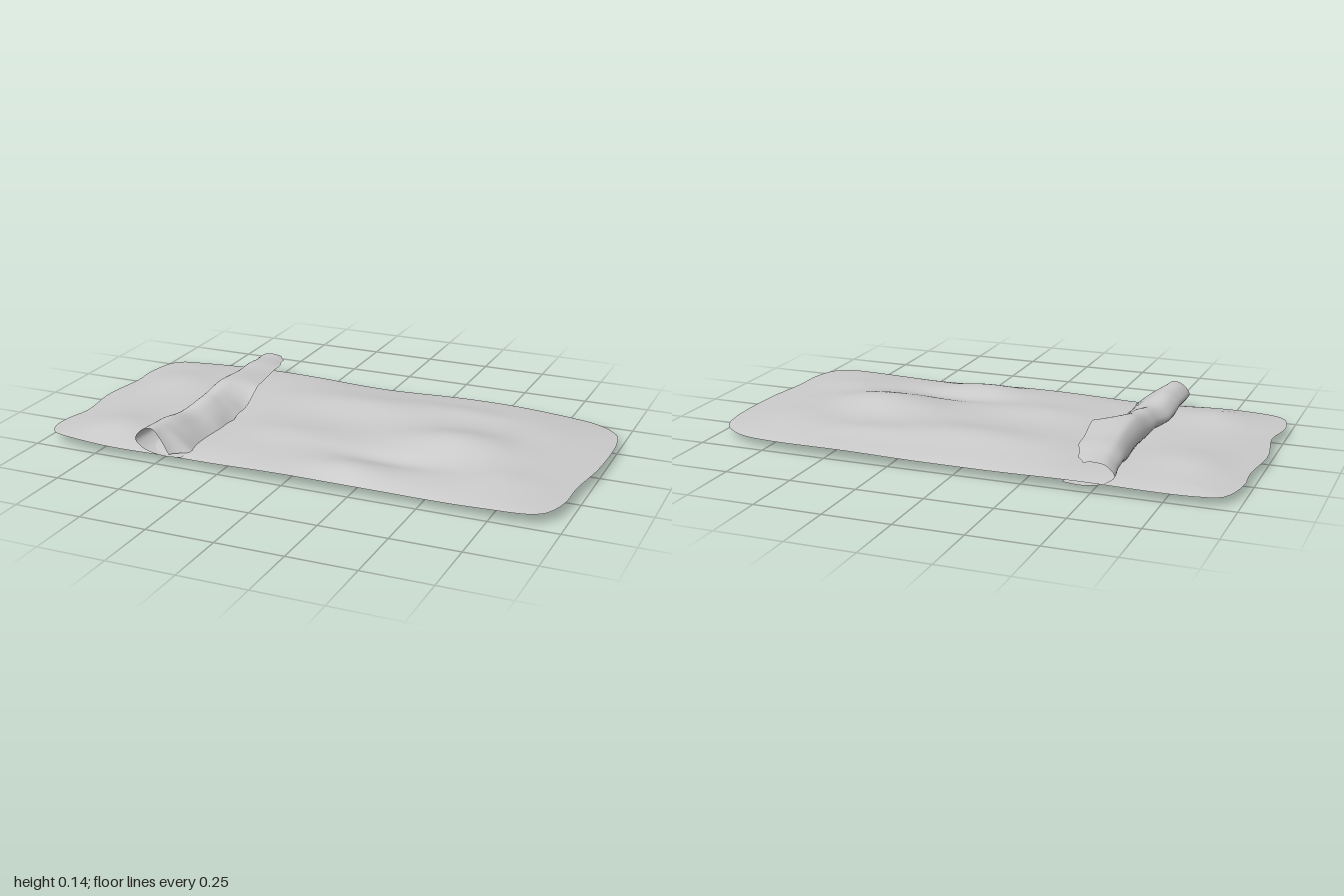
import * as THREE from 'three';

const material = new THREE.MeshStandardMaterial({ color: 0xcccccc, side: THREE.DoubleSide });

// Wavy outline of the sheet, [x, z], going round from the back left corner
const outline = [
  [-0.94, -0.46], [-0.86, -0.485], [-0.7, -0.5], [-0.3, -0.5], [0, -0.49], [0.3, -0.497],
  [0.7, -0.48], [0.88, -0.44], [0.97, -0.36], [0.995, -0.26], [0.995, 0], [0.97, 0.2],
  [0.965, 0.34], [0.93, 0.44], [0.88, 0.47], [0.7, 0.48], [0.4, 0.475], [0.1, 0.485],
  [-0.2, 0.485], [-0.45, 0.48], [-0.7, 0.495], [-0.86, 0.48], [-0.95, 0.455], [-0.985, 0.4],
  [-0.99, 0.3], [-0.97, 0.2], [-0.995, 0], [-0.975, -0.2], [-0.98, -0.32],
];

// Soft bumps and hollows: x, z, width in x, width in z, height
const bumps = [
  [0.5, 0.03, 0.22, 0.13, 0.042], [0.05, -0.22, 0.3, 0.12, 0.022], [0.22, 0.4, 0.14, 0.09, 0.025],
  [-0.75, 0.33, 0.13, 0.12, 0.022], [-0.8, -0.2, 0.15, 0.13, 0.022], [0.75, -0.2, 0.14, 0.15, 0.015],
  [-0.1, 0.15, 0.18, 0.1, 0.012], [0.3, 0.24, 0.2, 0.06, -0.015], [0.4, -0.3, 0.2, 0.08, 0.012],
  [-0.46, 0, 0.1, 0.4, -0.015], [0.75, 0.25, 0.15, 0.1, 0.012],
];

function sheetHeight(x, z, r) {
  const inside = 1 - Math.pow(r, 6);
  let y = 0.052;
  for (const [bx, bz, wx, wz, h] of bumps) {
    y += h * Math.exp(-(((x - bx) / wx) ** 2) - ((z - bz) / wz) ** 2);
  }
  const rim = 0.034 + 0.004 * Math.sin(7 * x + 3 * z);
  return rim + (y - rim) * inside;
}

// Surface through a grid of points given by a rule
function surface(name, rows, cols, point) {
  const positions = [], index = [];
  for (let i = 0; i <= rows; i++) {
    for (let j = 0; j <= cols; j++) positions.push(...point(i / rows, j / cols));
  }
  for (let i = 0; i < rows; i++) {
    for (let j = 0; j < cols; j++) {
      const a = i * (cols + 1) + j, b = a + cols + 1;
      index.push(a, a + 1, b, b, a + 1, b + 1);
    }
  }
  const geometry = new THREE.BufferGeometry();
  geometry.setAttribute('position', new THREE.Float32BufferAttribute(positions, 3));
  geometry.setIndex(index);
  geometry.computeVertexNormals();
  const mesh = new THREE.Mesh(geometry, material);
  mesh.name = name;
  return mesh;
}

// Smooth value along z from [z, value] stations
function along(stations) {
  const curve = stations.map(([z, v]) => new THREE.Vector2(z, v));
  return (z) => {
    let k = 0;
    while (k < curve.length - 2 && z > curve[k + 1].x) k++;
    const t = THREE.MathUtils.smoothstep(z, curve[k].x, curve[k + 1].x);
    return THREE.MathUtils.lerp(curve[k].y, curve[k + 1].y, t);
  };
}

export function createModel() {
  const group = new THREE.Group();
  group.name = 'blanket';

  // Main sheet, in rings from the middle out to the wavy outline
  const rim = new THREE.CatmullRomCurve3(
    outline.map(([x, z]) => new THREE.Vector3(x, 0, z)), true, 'centripetal');
  const rimPoints = rim.getSpacedPoints(160);
  group.add(surface('sheet', 48, 160, (u, v) => {
    const p = rimPoints[Math.round(v * 160) % 160];
    const x = p.x * u, z = p.z * u;
    return [x, sheetHeight(x, z, u), z];
  }));

  // Turned-over fold: its closed side faces -x, its free edge faces +x
  const left = along([[-0.5, -0.583], [-0.4, -0.57], [-0.15, -0.553], [0.1, -0.56], [0.25, -0.58], [0.49, -0.585]]);
  const top = along([[-0.5, 0.113], [-0.3, 0.13], [-0.07, 0.145], [0.08, 0.125], [0.22, 0.107], [0.36, 0.125], [0.49, 0.13]]);
  const edgeX = along([[-0.5, -0.47], [-0.44, -0.435], [-0.33, -0.405], [-0.07, -0.375], [0.08, -0.39], [0.22, -0.372], [0.42, -0.385], [0.49, -0.45]]);
  const edgeY = along([[-0.5, 0.105], [-0.3, 0.12], [-0.1, 0.125], [0.03, 0.06], [0.15, 0.03], [0.3, 0.025], [0.49, 0.04]]);
  const low = along([[-0.5, 0.025], [-0.35, 0.03], [-0.22, 0.002], [-0.05, 0.012], [0.12, 0.018], [0.3, 0.015], [0.36, 0.032], [0.49, 0.032]]);
  group.add(surface('fold', 72, 36, (u, v) => {
    const z = -0.5 + 0.988 * u;
    const l = left(z), t = top(z), b = low(z), ex = edgeX(z), ey = edgeY(z);
    const profile = new THREE.CatmullRomCurve3([
      [-0.4, b + 0.004], [-0.47, b], [l + 0.035, b + 0.015], [l, (b + t) / 2], [l + 0.03, t - 0.01],
      [l + 0.07, t - 0.002], [(l + 0.07 + ex) / 2, Math.max(ey, t * 0.6 + ey * 0.4)], [ex, ey],
    ].map(([x, y]) => new THREE.Vector3(x, y, z)), false, 'centripetal');
    const p = profile.getPoint(v);
    return [p.x, Math.max(0, p.y), z];
  }));

  return group;
}
